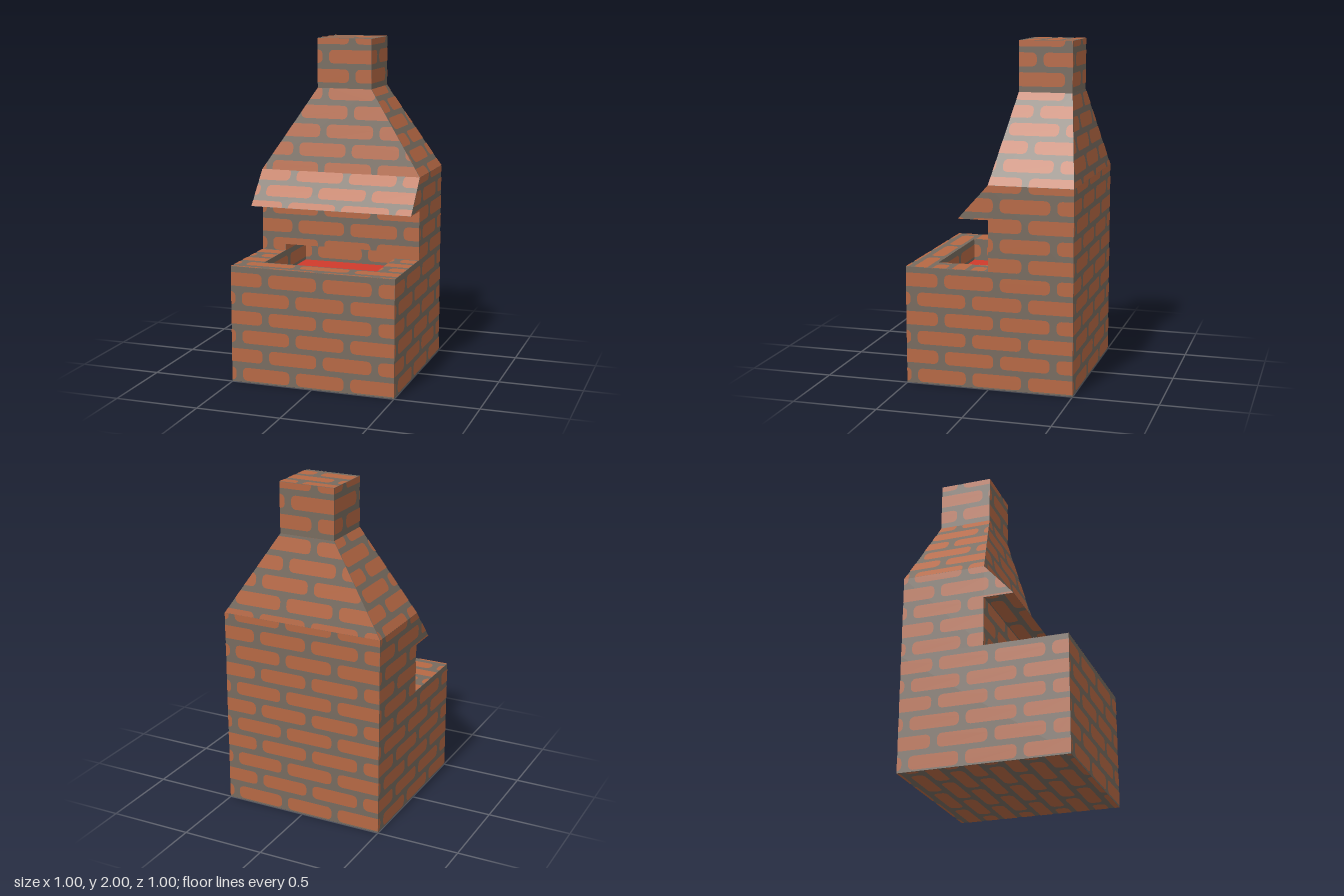
import * as THREE from 'three';

const mat = (name, color) => Object.assign(new THREE.MeshStandardMaterial({ color }), { name });
const V = (x, y, z) => new THREE.Vector3(x, y, z);
const UP = V(0, 1, 0);

// Brick bond dimensions
const PITCH_U = 0.335, PITCH_V = 0.115, LEN = 0.295, HIGH = 0.081, ROUND = 0.028, LIFT = 0.002;

// Rounded brick outline, counter-clockwise around (cu, cv)
function brickOutline(cu, cv) {
  const pts = [];
  [[1, 1], [-1, 1], [-1, -1], [1, -1]].forEach(([sx, sy], q) => {
    for (let k = 0; k <= 3; k++) {
      const a = (q + k / 3) * Math.PI / 2;
      pts.push([cu + sx * (LEN / 2 - ROUND) + ROUND * Math.cos(a),
        cv + sy * (HIGH / 2 - ROUND) + ROUND * Math.sin(a)]);
    }
  });
  return pts;
}

// Keep the part of a convex outline inside a convex counter-clockwise frame
function clip(poly, frame) {
  frame.forEach((a, i) => {
    const b = frame[(i + 1) % frame.length];
    const side = p => (b[0] - a[0]) * (p[1] - a[1]) - (b[1] - a[1]) * (p[0] - a[0]);
    const out = [];
    poly.forEach((p, j) => {
      const q = poly[(j + 1) % poly.length], sp = side(p), sq = side(q);
      if (sp >= 0) out.push(p);
      if (sp * sq < 0) {
        const t = sp / (sp - sq);
        out.push([p[0] + (q[0] - p[0]) * t, p[1] + (q[1] - p[1]) * t]);
      }
    });
    poly = out;
  });
  return poly;
}

function fan(list, pts) {
  for (let i = 1; i < pts.length - 1; i++) {
    for (const p of [pts[0], pts[i], pts[i + 1]]) list.push(p.x, p.y, p.z);
  }
}

// One flat convex wall panel: a mortar face with thin bricks laid over it
function layPanel(corners, outward, mortarPos, brickPos) {
  const n = corners[1].clone().sub(corners[0]).cross(corners[2].clone().sub(corners[0])).normalize();
  const pts = [...corners];
  if (n.dot(outward) < 0) { pts.reverse(); n.negate(); }
  fan(mortarPos, pts);
  const u = Math.abs(n.y) > 0.99 ? V(1, 0, 0) : UP.clone().cross(n).normalize();
  const v = n.clone().cross(u);
  const frame = pts.map(p => [p.dot(u), p.dot(v)]);
  const us = frame.map(p => p[0]), vs = frame.map(p => p[1]);
  const base = n.clone().multiplyScalar(pts[0].dot(n) + LIFT);
  for (let r = Math.floor(Math.min(...vs) / PITCH_V) - 1; r * PITCH_V < Math.max(...vs); r++) {
    const shift = 0.05 + (r & 1) * PITCH_U / 2;
    const first = Math.floor((Math.min(...us) - shift) / PITCH_U) - 1;
    for (let c = first; c * PITCH_U + shift < Math.max(...us) + PITCH_U; c++) {
      const shape = clip(brickOutline(c * PITCH_U + shift, r * PITCH_V + 0.05), frame);
      if (shape.length > 2) {
        fan(brickPos, shape.map(([a, b]) => base.clone().addScaledVector(u, a).addScaledVector(v, b)));
      }
    }
  }
}

// Axis-aligned rectangle: axis 0/1/2 is held at value d, the other two span the ranges
function rect(axis, d, a0, a1, b0, b1, sign) {
  const at = (a, b) => axis === 0 ? V(d, a, b) : axis === 1 ? V(a, d, b) : V(a, b, d);
  const out = V(0, 0, 0).setComponent(axis, sign);
  return [[at(a0, b0), at(a1, b0), at(a1, b1), at(a0, b1)], out];
}

export function createModel() {
  const brick = mat('brick', 0xb66844);
  const mortar = mat('mortar', 0x776b5f);
  const ember = mat('ember red', 0xd03a2c);
  const model = new THREE.Group();
  model.name = 'brickFurnace';

  function mesh(name, positions, material) {
    const g = new THREE.BufferGeometry();
    g.setAttribute('position', new THREE.Float32BufferAttribute(positions, 3));
    g.computeVertexNormals();
    const m = new THREE.Mesh(g, material);
    m.name = name;
    return m;
  }
  function part(name, panels) {
    const mortarPos = [], brickPos = [];
    panels.forEach(([corners, out]) => layPanel(corners, out, mortarPos, brickPos));
    const group = new THREE.Group();
    group.name = name;
    group.add(mesh(name + 'Mortar', mortarPos, mortar), mesh(name + 'Bricks', brickPos, brick));
    model.add(group);
  }

  const W = 0.5, DECK = 0.7, EAVE = 1.2;               // body half width, deck and shoulder heights
  const P = 0.35, FLOOR = 0.565, LINTEL = 0.74;        // fire pit half width, floor and opening top
  const sides = [-1, 1];

  // Base block with the deck around the pit
  part('base', [
    rect(2, W, -W, W, 0, DECK, 1),
    rect(2, -W, -W, W, 0, DECK, -1),
    rect(1, 0, -W, W, -W, W, -1),
    rect(1, DECK, -W, W, P, W, 1),
    ...sides.map(s => rect(0, s * W, 0, DECK, -W, W, s)),
    ...sides.map(s => rect(1, DECK, s * P, s * W, 0, P, 1)),
  ]);

  // Rear wall with a low slot opening into the pit
  part('rearWall', [
    rect(2, -W, -W, W, DECK, EAVE, -1),
    rect(2, 0, -W, W, LINTEL, 1, 1),
    ...sides.map(s => rect(2, 0, s * P, s * W, DECK, LINTEL, 1)),
    ...sides.map(s => rect(0, s * W, DECK, EAVE, -W, 0, s)),
  ]);

  // Fire pit reaching back beneath the wall
  part('firePit', [
    rect(2, P, -P, P, FLOOR, DECK, -1),
    rect(2, -P, -P, P, FLOOR, LINTEL, 1),
    rect(1, LINTEL, -P, P, -P, 0, -1),
    ...sides.map(s => rect(0, s * P, FLOOR, DECK, 0, P, -s)),
    ...sides.map(s => rect(0, s * P, FLOOR, LINTEL, -P, 0, -s)),
  ]);
  const embers = new THREE.Mesh(new THREE.PlaneGeometry(2 * P, 2 * P).rotateX(-Math.PI / 2), ember);
  embers.name = 'emberBed';
  embers.position.y = FLOOR;
  model.add(embers);

  // Sloping hood over the pit
  const LIP = 0.18;
  part('hood', [
    [[V(-W, 1, LIP), V(W, 1, LIP), V(W, EAVE, 0), V(-W, EAVE, 0)], V(0, 1, 1)],
    rect(1, 1, -W, W, 0, LIP, -1),
    ...sides.map(s => [[V(s * W, 1, 0), V(s * W, 1, LIP), V(s * W, EAVE, 0)], V(s, 0, 0)]),
  ]);

  // Tapered shoulders
  const C = 0.17, NECK = 1.7, Z0 = -0.41, Z1 = -0.09;
  part('shoulders', [
    [[V(-W, EAVE, 0), V(W, EAVE, 0), V(C, NECK, Z1), V(-C, NECK, Z1)], V(0, 0, 1)],
    [[V(-W, EAVE, -W), V(W, EAVE, -W), V(C, NECK, Z0), V(-C, NECK, Z0)], V(0, 0, -1)],
    ...sides.map(s => [[V(s * W, EAVE, -W), V(s * W, EAVE, 0), V(s * C, NECK, Z1), V(s * C, NECK, Z0)], V(s, 0, 0)]),
  ]);

  // Chimney stack, closed on top
  part('chimney', [
    rect(2, Z1, -C, C, NECK, 2, 1),
    rect(2, Z0, -C, C, NECK, 2, -1),
    rect(1, 2, -C, C, Z0, Z1, 1),
    ...sides.map(s => rect(0, s * C, NECK, 2, Z0, Z1, s)),
  ]);

  return model;
}
